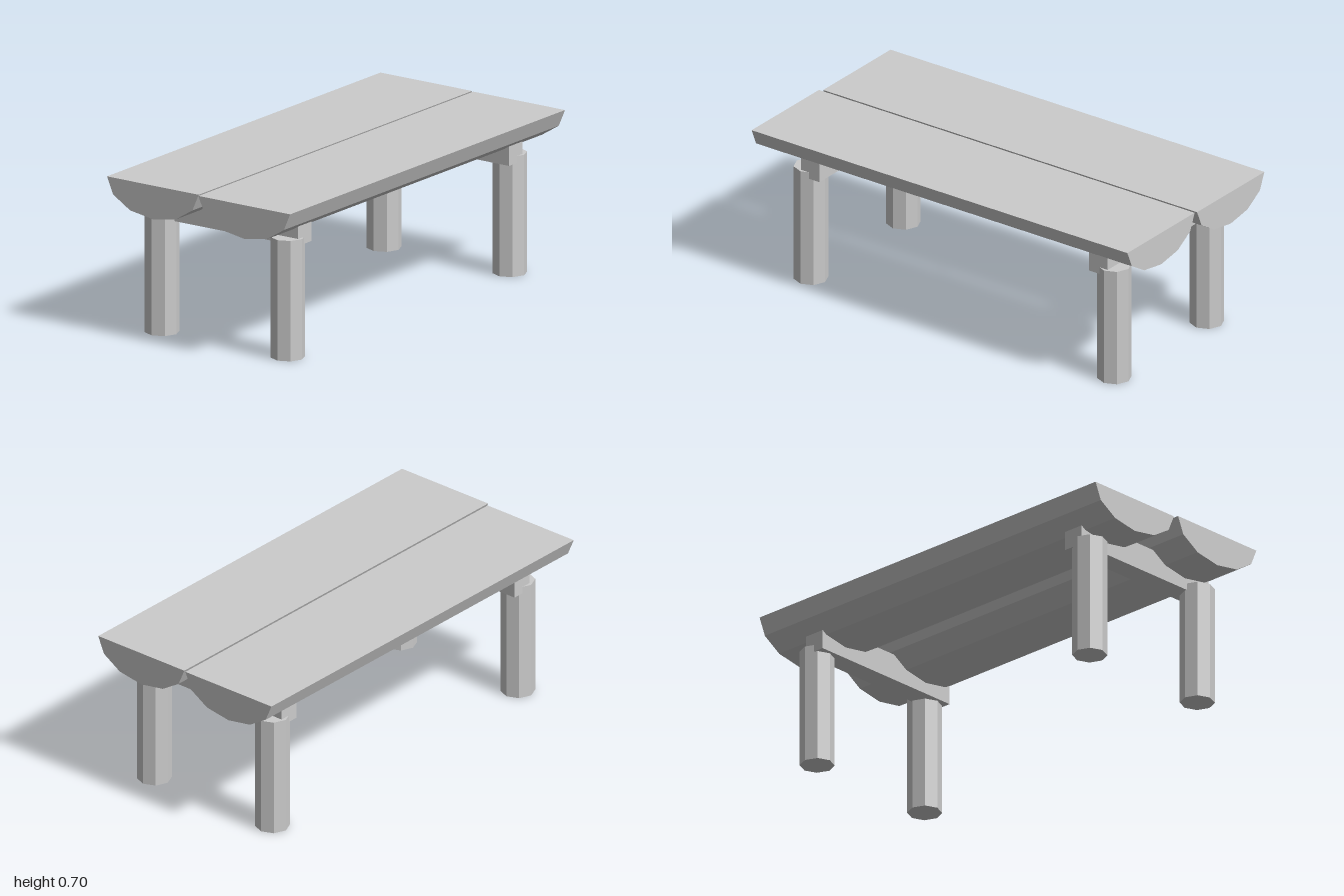
import * as THREE from 'three';

export function createModel() {
  const group = new THREE.Group();
  const material = new THREE.MeshStandardMaterial({ color: 0xcccccc, flatShading: true });

  const add = (name, geometry, x, y, z) => {
    const mesh = new THREE.Mesh(geometry, material);
    mesh.name = name;
    mesh.position.set(x, y, z);
    group.add(mesh);
  };

  // Half-log cross-section: flat top, six-sided rounded underside
  const radiusX = 0.242, depth = 0.15, sides = 6;
  const section = new THREE.Shape();
  for (let i = 0; i <= sides; i++) {
    const a = Math.PI + (i / sides) * Math.PI;
    const x = radiusX * Math.cos(a), y = depth * Math.sin(a);
    if (i === 0) section.moveTo(x, y);
    else section.lineTo(x, y);
  }
  section.closePath();
  const halfLog = (length) => new THREE.ExtrudeGeometry(section, { depth: length, bevelEnabled: false });

  // Two half logs form the top, slightly staggered lengthwise
  add('rightHalfLog', halfLog(1.985), -0.248, 0.705, -1);
  add('leftHalfLog', halfLog(1.995), 0.246, 0.705, -0.995);

  // Each end: a crossbar carrying the logs, let into two octagonal legs
  const bar = new THREE.BoxGeometry(0.784, 0.118, 0.098);
  const leg = new THREE.CylinderGeometry(0.075, 0.075, 0.535, 8);
  const ends = [
    { name: 'front', barZ: 0.76, legZ: 0.801 },
    { name: 'back', barZ: -0.77, legZ: -0.81 },
  ];
  for (const { name, barZ, legZ } of ends) {
    add(name + 'Crossbar', bar, 0, 0.563, barZ);
    add(name + 'RightLeg', leg, -0.333, 0.2675, legZ);
    add(name + 'LeftLeg', leg, 0.331, 0.2675, legZ);
  }

  return group;
}
